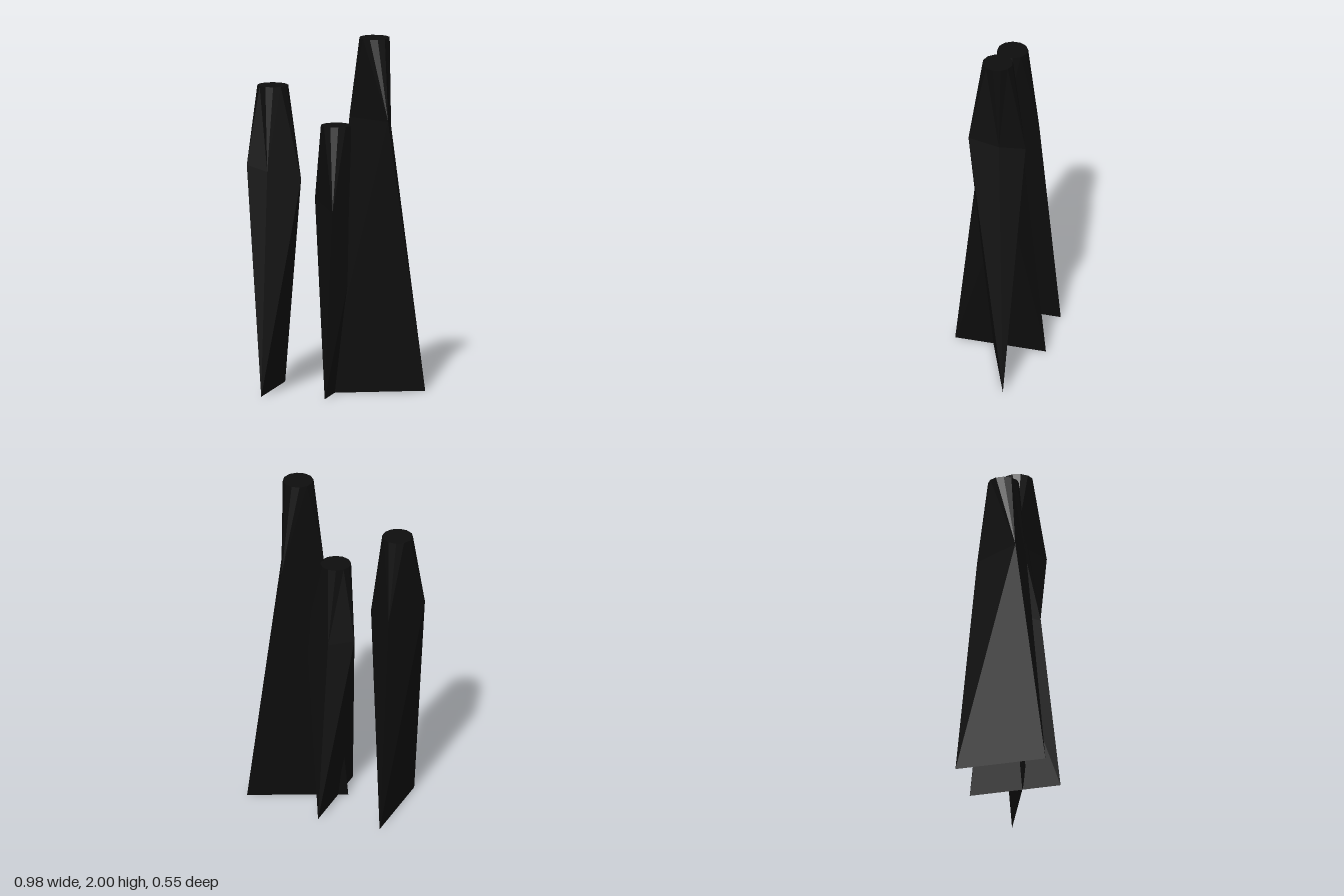
import * as THREE from 'three';

const SIDES = 12;
const TOP_RADIUS = 0.086;

// A shard: a blade edge on the ground, a four-point waist and a round flat top.
// ends: two ground points; waist: end, side, end, side, running counter-clockwise from above.
function shardGeometry({ ends, waist, top }) {
  const e = ends.map((p) => new THREE.Vector3(...p));
  const m = waist.map((p) => new THREE.Vector3(...p));
  const centre = new THREE.Vector3(...top);
  const start = Math.atan2(m[0].x - centre.x, m[0].z - centre.z);
  const rim = [];
  for (let i = 0; i < SIDES; i++) {
    const a = start + ((i - 1.5) * Math.PI * 2) / SIDES;
    rim.push(new THREE.Vector3(Math.sin(a), 0, Math.cos(a)).multiplyScalar(TOP_RADIUS).add(centre));
  }
  const r = (i) => rim[i % SIDES];
  const points = [];
  const tri = (a, b, c) => points.push(a, b, c);

  // blade: two broad faces and the narrow faces at each end
  tri(e[0], e[1], m[1]);
  tri(e[1], e[0], m[3]);
  tri(e[0], m[1], m[0]);
  tri(e[0], m[0], m[3]);
  tri(e[1], m[2], m[1]);
  tri(e[1], m[3], m[2]);

  // waist to round top: one fan for each waist point, joined by triangles
  const quarter = SIDES / 4;
  for (let i = 0; i < 4; i++) {
    for (let k = i * quarter; k < (i + 1) * quarter; k++) tri(m[i], r(k + 1), r(k));
    tri(m[i], m[(i + 1) % 4], r((i + 1) * quarter));
  }

  // flat cap
  for (let k = 0; k < SIDES; k++) tri(centre, r(k), r(k + 1));

  const geometry = new THREE.BufferGeometry().setFromPoints(points);
  geometry.computeVertexNormals();
  return geometry;
}

export function createModel() {
  const model = new THREE.Group();
  model.name = 'shards';
  const black = new THREE.MeshStandardMaterial({ color: 0x0d0d0d, flatShading: true });
  black.name = 'black stone';

  const shards = {
    rightShard: {
      ends: [[-0.39, 0, 0.24], [-0.32, 0, -0.275]],
      waist: [[-0.37, 1.25, 0.13], [-0.19, 1.2, 0.05], [-0.34, 1.25, -0.15], [-0.49, 1.28, 0.085]],
      top: [-0.355, 1.72, 0],
    },
    middleShard: {
      ends: [[-0.03, 0, 0.275], [0.04, 0, -0.245]],
      waist: [[0, 1.03, 0.16], [0.155, 1.08, -0.045], [0.01, 1.05, -0.135], [-0.13, 1.07, -0.09]],
      top: [0, 1.5, 0],
    },
    tallShard: {
      ends: [[-0.055, 0, 0.07], [0.49, 0, -0.07]],
      waist: [[0.075, 1.55, 0.01], [0.31, 1.55, 0.15], [0.305, 1.5, -0.02], [0.27, 1.48, -0.165]],
      top: [0.215, 2, 0],
    },
  };
  for (const [name, spec] of Object.entries(shards)) {
    const mesh = new THREE.Mesh(shardGeometry(spec), black);
    mesh.name = name;
    model.add(mesh);
  }
  return model;
}
